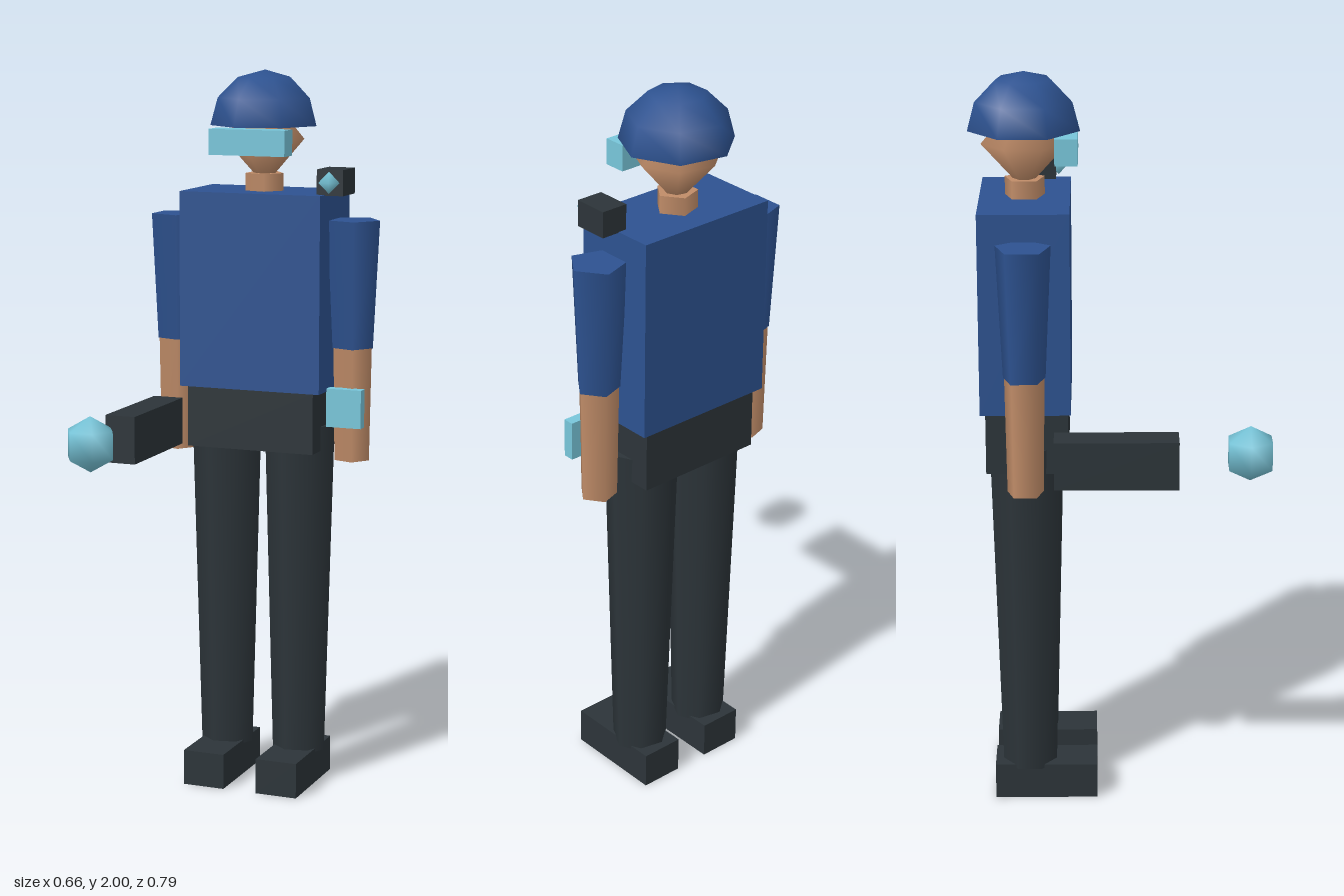
import * as THREE from 'three';

const mat = (name, color) => {
  const m = new THREE.MeshStandardMaterial({ color });
  m.name = name;
  return m;
};

export function createModel() {
  const blue = mat('uniformBlue', 0x2d5290);
  const dark = mat('charcoal', 0x2c3439);
  const skin = mat('skin', 0xc08c68);
  const cyan = mat('glowCyan', 0x78c6da);

  const model = new THREE.Group();
  model.name = 'guard';
  const CX = -0.006, CZ = -0.248; // body axis

  const add = (name, geometry, material, x, y, z) => {
    const mesh = new THREE.Mesh(geometry, material);
    mesh.name = name;
    mesh.position.set(x, y, z);
    model.add(mesh);
    return mesh;
  };
  const box = (name, material, w, h, d, x, y, z) =>
    add(name, new THREE.BoxGeometry(w, h, d), material, x, y, z);
  // Tapered prism between two heights, one corner pointing to +x
  const limb = (name, material, rTop, rBottom, sides, y0, y1, x) =>
    add(name, new THREE.CylinderGeometry(rTop, rBottom, y1 - y0, sides).rotateY(Math.PI / 2),
      material, x, (y0 + y1) / 2, CZ);
  // Coarse ball, one corner pointing to +x
  const ball = (name, material, r, sides, rings, x, y, z) =>
    add(name, new THREE.SphereGeometry(r, sides, rings).rotateY(Math.PI), material, x, y, z);

  // Head, helmet and visor
  ball('head', skin, 0.115, 7, 2, CX, 1.815, CZ).scale.y = 1.13;
  add('helmet', new THREE.SphereGeometry(0.15, 7, 3, 0, Math.PI * 2, 0, Math.PI / 2).rotateY(Math.PI),
    blue, CX, 1.85, CZ);
  add('helmetUnderside', new THREE.CircleGeometry(0.15, 7).rotateX(Math.PI / 2),
    blue, CX, 1.85, CZ);
  box('visor', cyan, 0.22, 0.07, 0.06, CX, 1.81, -0.138);
  limb('neck', skin, 0.055, 0.055, 5, 1.64, 1.72, CX);

  // Trunk
  box('torso', blue, 0.41, 0.54, 0.238, CX, 1.402, CZ);
  box('hips', dark, 0.37, 0.17, 0.217, CX, 1.048, -0.245);

  // Arms and legs
  for (const [side, s] of [['left', 1], ['right', -1]]) {
    const armX = CX + s * 0.26, legX = CX + s * 0.109;
    limb(side + 'Sleeve', blue, 0.075, 0.058, 5, 1.25, 1.6, armX);
    limb(side + 'Forearm', skin, 0.055, 0.05, 5, 0.937, 1.25, armX);
    limb(side + 'Leg', dark, 0.1, 0.075, 7, 0.09, 1.03, legX);
    box(side + 'Shoe', dark, 0.12, 0.1, 0.28, legX, 0.05, -0.203);
  }

  // Wrist screen on the left arm
  box('wristScreen', cyan, 0.1, 0.106, 0.03, 0.254, 1.09, -0.19);

  // Shoulder camera
  box('shoulderCamera', dark, 0.075, 0.07, 0.096, 0.212, 1.705, -0.217);
  ball('cameraLens', cyan, 0.03, 5, 2, 0.212, 1.706, -0.162);

  // Hand-held emitter with its floating charge
  box('emitter', dark, 0.086, 0.13, 0.326, -0.266, 1.025, -0.01);
  ball('energyCharge', cyan, 0.075, 6, 3, -0.266, 1.046, 0.339);

  return model;
}
